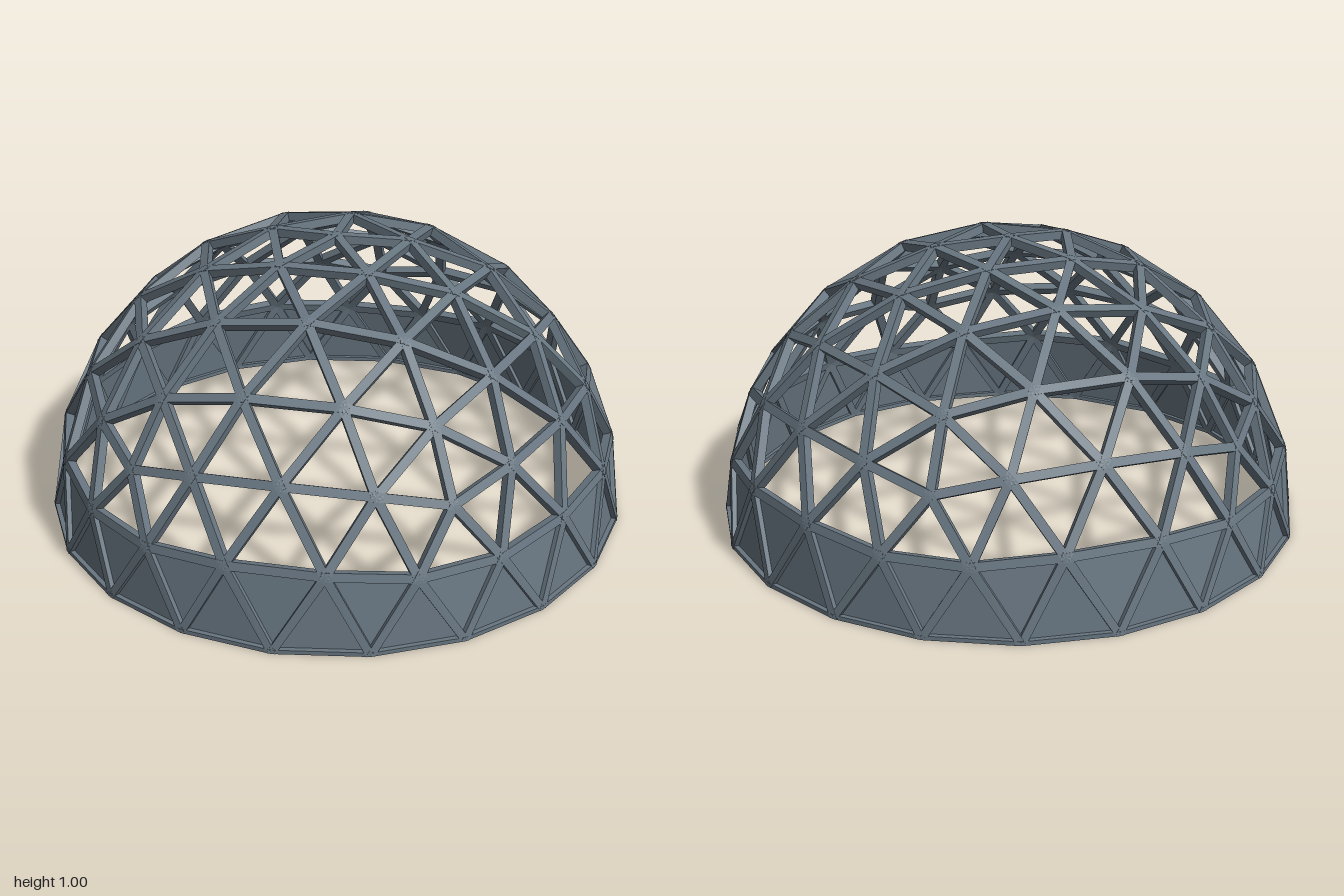
import * as THREE from 'three';
import { mergeGeometries } from 'three/addons/utils/BufferGeometryUtils.js';

const FREQ = 4;          // subdivisions per icosahedron edge
const OUTER = 1, INNER = 0.97, HALF = 0.015;

// Flat-shaded geometry from a list of corner points (three per triangle)
function facets(points) {
  const g = new THREE.BufferGeometry().setFromPoints(points);
  g.computeVertexNormals();
  return g;
}

// Top cap and middle belt of an icosahedron standing on a vertex
function icosahedronFaces() {
  const ring = (y, offset) => Array.from({ length: 5 }, (_, i) => {
    const a = (i + offset) * Math.PI * 2 / 5, r = 2 / Math.sqrt(5);
    return new THREE.Vector3(r * Math.cos(a), y, -r * Math.sin(a));
  });
  const top = new THREE.Vector3(0, 1, 0);
  const up = ring(1 / Math.sqrt(5), 0), low = ring(-1 / Math.sqrt(5), 0.5);
  const faces = [];
  for (let i = 0; i < 5; i++) {
    const j = (i + 1) % 5;
    faces.push([top, up[i], up[j]], [up[i], low[i], up[j]], [low[i], low[j], up[j]]);
  }
  return faces;
}

// Small triangles of the dome above the ground, pushed out to the unit sphere
function domeTriangles() {
  const out = [];
  for (const [a, b, c] of icosahedronFaces()) {
    const at = (i, j) => {
      const p = new THREE.Vector3()
        .addScaledVector(a, FREQ - i - j).addScaledVector(b, i).addScaledVector(c, j).normalize();
      if (Math.abs(p.y) < 1e-6) p.y = 0;
      return p;
    };
    for (let i = 0; i < FREQ; i++) {
      for (let j = 0; j < FREQ - i; j++) {
        out.push([at(i, j), at(i + 1, j), at(i, j + 1)]);
        if (i + j < FREQ - 1) out.push([at(i + 1, j), at(i + 1, j + 1), at(i, j + 1)]);
      }
    }
  }
  return out.filter(t => t.every(p => p.y >= 0));
}

// Square bar between two hubs, mitred along the radii and cut off at the ground
function strut(p, q) {
  const side = q.clone().sub(p).cross(p.clone().add(q)).setLength(HALF);
  const section = v => [[OUTER, 1], [INNER, 1], [INNER, -1], [OUTER, -1]].map(([r, s]) => {
    const c = v.clone().multiplyScalar(r).addScaledVector(side, s);
    c.y = Math.max(c.y, 0);
    return c;
  });
  const P = section(p), Q = section(q), pts = [];
  for (let i = 0; i < 4; i++) {
    const j = (i + 1) % 4;
    pts.push(P[i], P[j], Q[j], P[i], Q[j], Q[i]);
  }
  return facets(pts);
}

export function createModel() {
  const steel = new THREE.MeshStandardMaterial({ color: 0x687681, side: THREE.DoubleSide });
  steel.name = 'slate grey steel';
  const model = new THREE.Group();
  model.name = 'geodesicDome';
  const add = (name, geometry) => {
    const m = new THREE.Mesh(geometry, steel);
    m.name = name;
    model.add(m);
  };

  const triangles = domeTriangles();

  // One strut per distinct edge, sorted into lattice and ground ring
  const key = v => v.toArray().map(n => Math.round(n * 1000) + 0).join();
  const seen = new Set(), lattice = [], ground = [];
  for (const t of triangles) {
    for (let k = 0; k < 3; k++) {
      const p = t[k], q = t[(k + 1) % 3], id = [key(p), key(q)].sort().join('|');
      if (seen.has(id)) continue;
      seen.add(id);
      (p.y + q.y === 0 ? ground : lattice).push(strut(p, q));
    }
  }
  add('latticeStruts', mergeGeometries(lattice));
  add('groundRing', mergeGeometries(ground));

  // Closed skirt of thin panels in the lowest row, set midway in the struts
  const skirt = triangles.filter(t => t.some(p => p.y === 0));
  add('skirtPanels', facets(skirt.flat().map(p => p.clone().multiplyScalar((OUTER + INNER) / 2))));

  return model;
}
